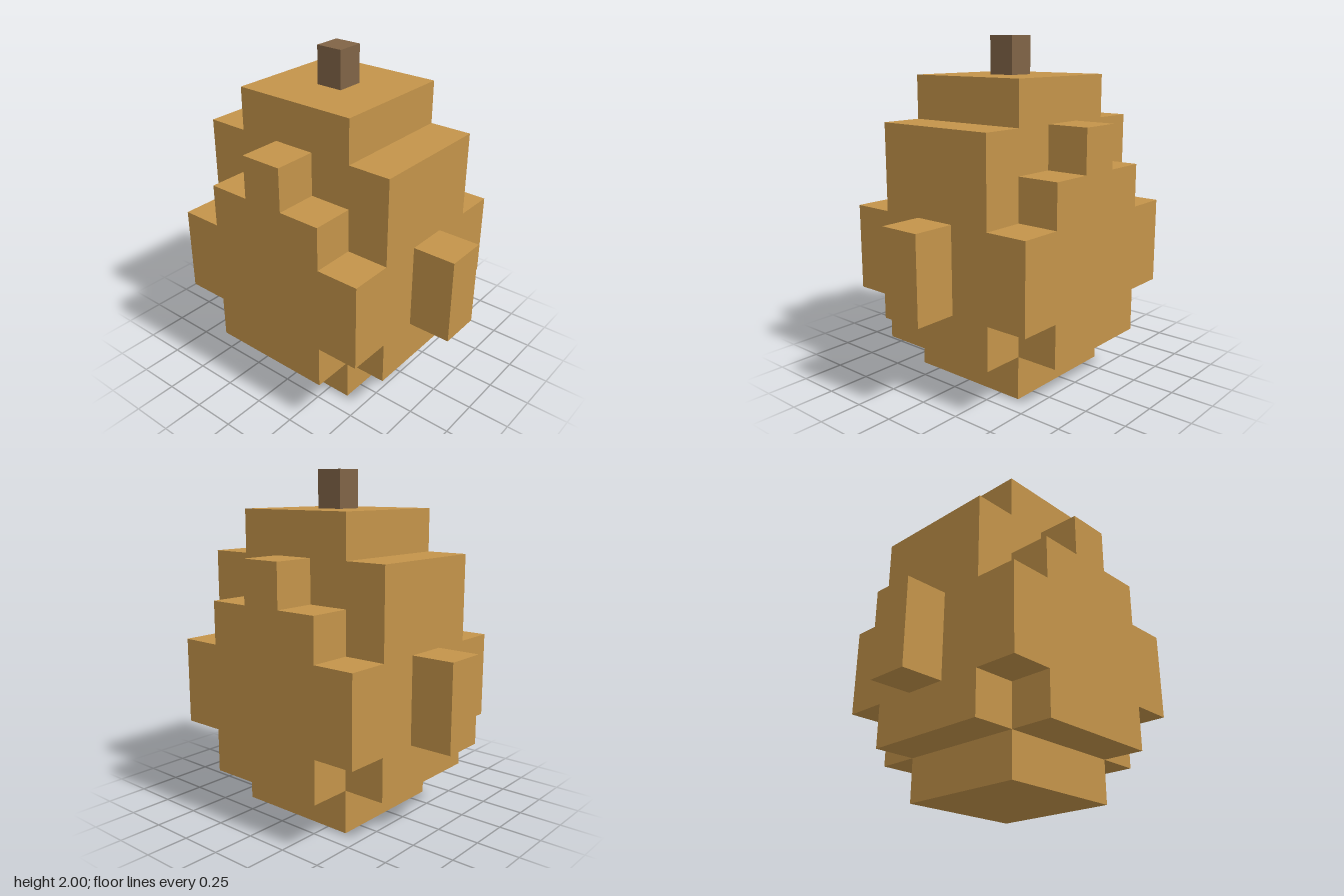
import * as THREE from 'three';

const U = 0.254; // block unit
const body = new THREE.MeshStandardMaterial({ color: 0xc4944a });
body.name = 'ochre rind';
const stemBrown = new THREE.MeshStandardMaterial({ color: 0x806446 });
stemBrown.name = 'stem brown';

// Mirrored stepped outline from [halfWidth, bottom, top] rows, extruded between z0 and z1
function steppedSlab(name, rows, z0, z1) {
  const right = rows.flatMap(([w, y0, y1]) => [[w, y0], [w, y1]]);
  const left = right.map(([x, y]) => [-x, y]).reverse();
  const shape = new THREE.Shape([...right, ...left].map(([x, y]) => new THREE.Vector2(x * U, y * U)));
  const geometry = new THREE.ExtrudeGeometry(shape, { depth: (z1 - z0) * U, bevelEnabled: false });
  geometry.translate(0, 0, z0 * U);
  const mesh = new THREE.Mesh(geometry, body);
  mesh.name = name;
  return mesh;
}

function block(name, size, position, material) {
  const mesh = new THREE.Mesh(new THREE.BoxGeometry(...size), material);
  mesh.name = name;
  mesh.position.set(...position);
  return mesh;
}

export function createModel() {
  const model = new THREE.Group();
  model.name = 'blockyGourd';

  // Core with narrower base and crown
  model.add(steppedSlab('core', [[1.5, 0, 1], [2.5, 1, 6], [1.5, 6, 7]], -1.5, 1.5));

  // Stepped bulges on the front and back
  const bulge = [[1.5, 1, 2], [2.5, 2, 4], [1.5, 4, 5], [0.5, 5, 6]];
  model.add(steppedSlab('frontBulge', bulge, 1.5, 2.5));
  model.add(steppedSlab('backBulge', bulge, -2.5, -1.5));

  // Small side bulges
  for (const [side, name] of [[1, 'leftBulge'], [-1, 'rightBulge']]) {
    model.add(block(name, [U, 2 * U, U], [side * 3 * U, 3 * U, 0], body));
  }

  // Stem
  const crown = 7 * U;
  model.add(block('stem', [0.164, 2 - crown, 0.164], [0, (2 + crown) / 2, 0], stemBrown));
  return model;
}
